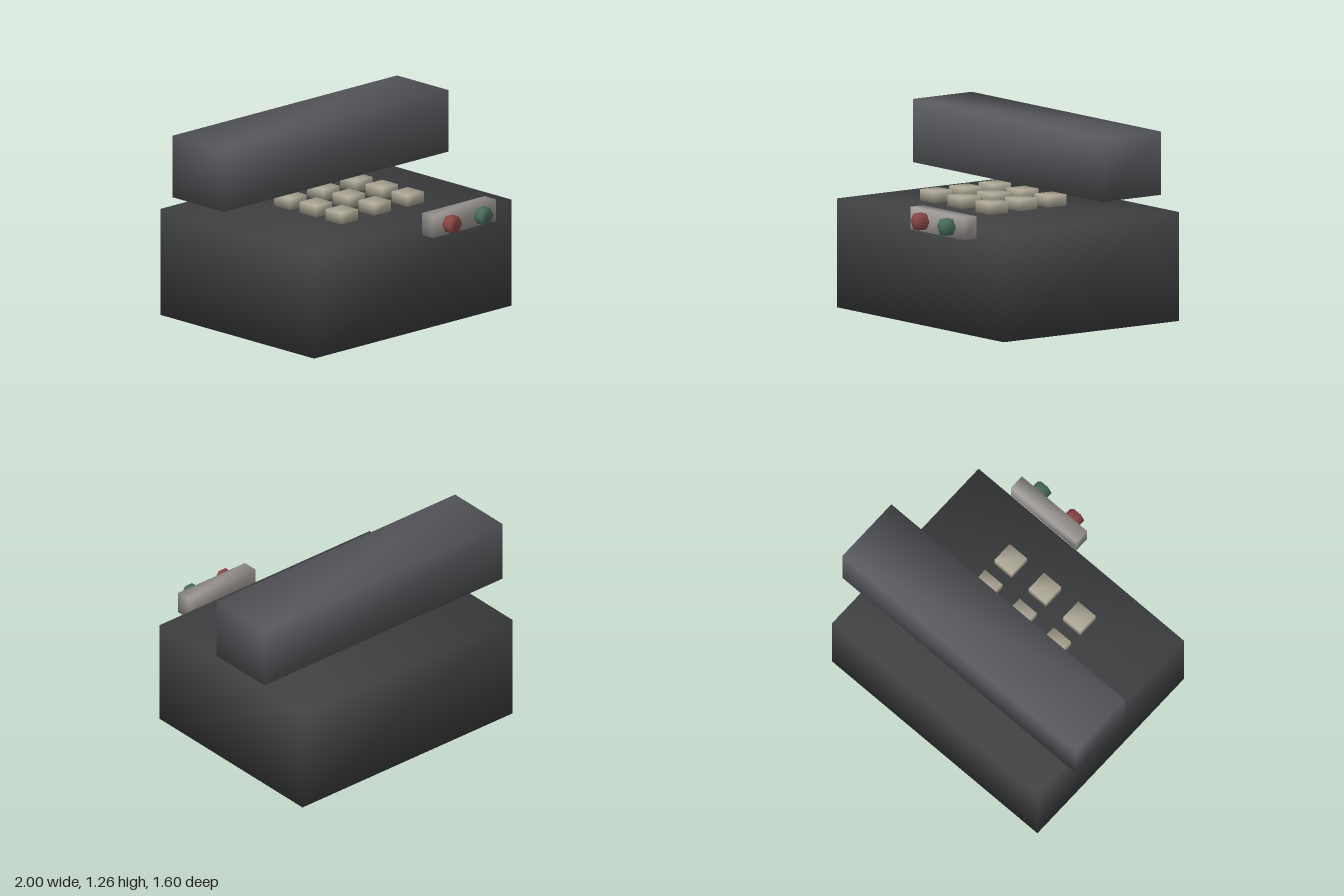
import * as THREE from 'three';
import { mergeVertices } from 'three/addons/utils/BufferGeometryUtils.js';

// Shares corners between faces so the shading runs smoothly over the edges
function soften(geometry) {
  geometry.deleteAttribute('normal');
  geometry.deleteAttribute('uv');
  const soft = mergeVertices(geometry, 1e-4);
  soft.computeVertexNormals();
  return soft;
}

const paint = (color) => new THREE.MeshStandardMaterial({ color });

function addPart(parent, name, geometry, material, x, y, z) {
  const mesh = new THREE.Mesh(geometry, material);
  mesh.name = name;
  mesh.position.set(x, y, z);
  parent.add(mesh);
  return mesh;
}

export function createModel() {
  const model = new THREE.Group();
  model.name = 'deskPhone';
  const box = (w, h, d) => soften(new THREE.BoxGeometry(w, h, d));

  // Main body and the handset bar floating above it
  addPart(model, 'body', box(1.76, 0.705, 1.41), paint(0x404143), 0, 0.3525, -0.093);
  addPart(model, 'handset', box(2, 0.41, 0.47), paint(0x58595d), 0, 1.06, -0.327);

  // Keypad, three by three
  const keypad = new THREE.Group();
  keypad.name = 'keypad';
  model.add(keypad);
  const keyGeometry = box(0.147, 0.073, 0.147);
  const keyMaterial = paint(0xaea998);
  for (let row = 0; row < 3; row++) {
    for (let col = 0; col < 3; col++) {
      addPart(keypad, 'key', keyGeometry, keyMaterial,
        (col - 1) * 0.294, 0.768, 0.262 - row * 0.236);
    }
  }

  // Front panel with two six-sided buttons
  const panel = new THREE.Group();
  panel.name = 'callPanel';
  model.add(panel);
  addPart(panel, 'panelPlate', box(0.56, 0.145, 0.103), paint(0x9f9b98), 0.34, 0.712, 0.684);
  const buttonGeometry = soften(new THREE.CylinderGeometry(0.059, 0.059, 0.07, 6)
    .rotateY(Math.PI / 6).rotateX(Math.PI / 2));
  addPart(panel, 'redButton', buttonGeometry, paint(0x8c4a48), 0.2, 0.71, 0.763);
  addPart(panel, 'greenButton', buttonGeometry, paint(0x4c7060), 0.48, 0.71, 0.763);

  return model;
}
